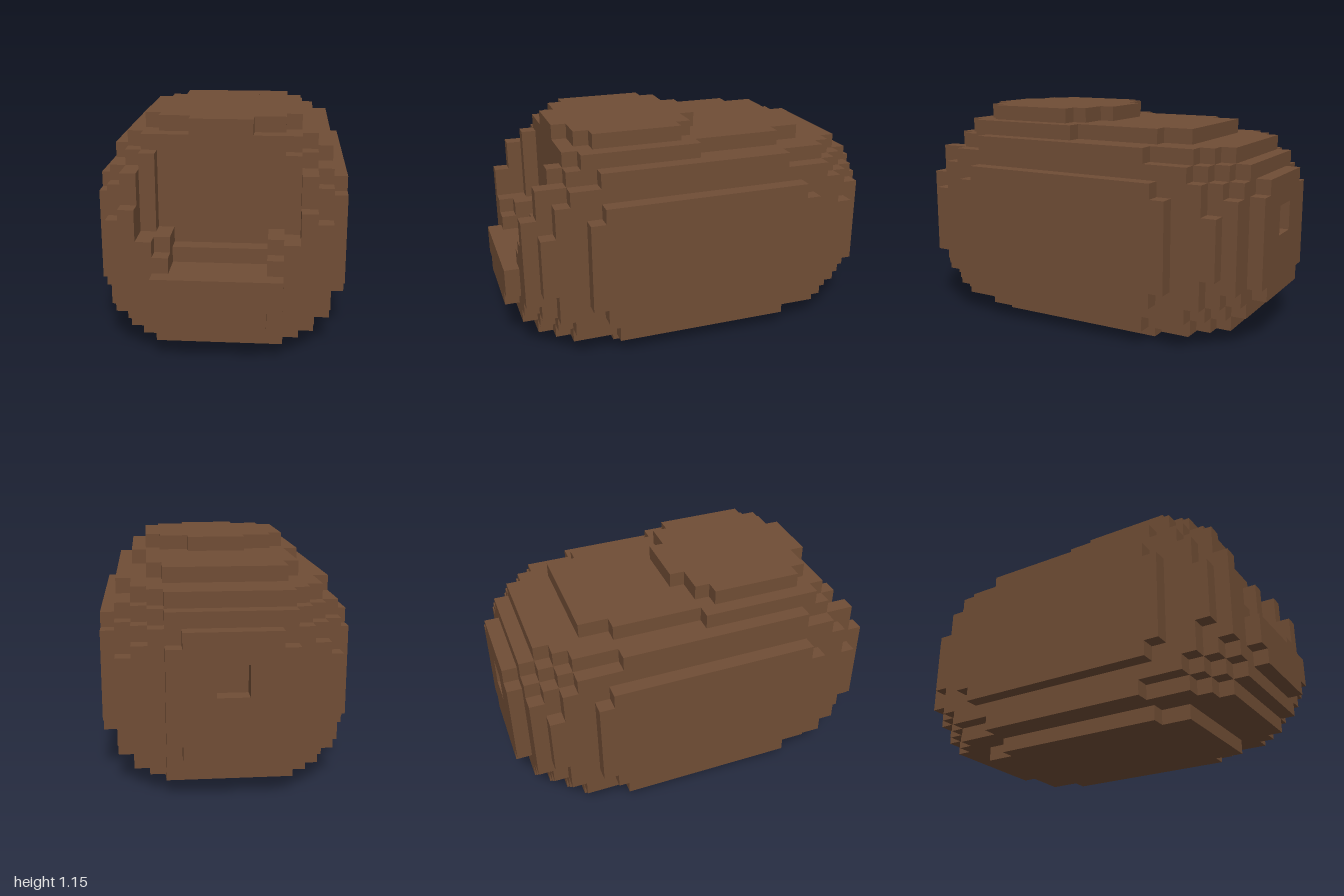
import * as THREE from 'three';

// One block is 1/13 of a unit; the body is 16 wide, 15 high and 26 long.
const U = 1 / 13;

// Boxes are [half width, y0, y1, z0, z1], mirrored in x.
const sym = ([hx, y0, y1, hz]) => [hx, y0, y1, -hz, hz];

const parts = {
  // Rounded hull, as nested slabs
  body: [
    [7, 5, 9, 11], [7, 3, 11, 10], [7, 2, 12, 9], [7, 1, 13, 6],
    [6, 4, 10, 12], [6, 3, 11, 11], [6, 2, 12, 10], [6, 1, 13, 9],
    [5, 3, 11, 12], [5, 2, 12, 11], [5, 1, 13, 10],
    [4, 2, 12, 12], [4, 1, 13, 11],
  ].map(sym).concat([[7, 12, 13, 0, 7], [6, 10, 12, 0, 11]]),
  sidePanels: [[8, 4, 10, 8], [8, 3, 11, 7]].map(sym),
  underside: [[5, 0, 1, 6], [4, 0, 1, 8]].map(sym),
  roof: [[5, 13, 14, -6, 9], [4, 13, 14, -8, 9], [6, 13, 14, 0, 8]],
  roofCap: [[5, 14, 15, 1, 7], [4, 14, 15, 0, 8], [2, 14, 15, -1, 9]],
  frontLip: [[4, 4, 6, 12, 13], [3, 3, 4, 12, 13]],
  rearPanel: [[4, 4, 10, -13, -12], [3, 3, 11, -13, -12]],
};

// Front recess with its stepped sill, and the small rear hole
const cuts = [
  [5, 8, 13, 10, 13], [4, 8, 13, 9, 13], [3, 7, 13, 9, 13],
  [3, 6, 13, 10, 13], [4, 7, 8, 11, 13],
  [1, 7, 9, -13, -12],
];

const inside = (list, x, y, z) => list.some(([hx, y0, y1, z0, z1]) =>
  Math.abs(x) < hx && y > y0 && y < y1 && z > z0 && z < z1);

// Part that owns the block centred on a point, or null for empty space
function owner(x, y, z) {
  // the outer blocks of the sill corners stay solid
  const sillCorner = Math.abs(x) > 4 && Math.abs(x) < 5 && y > 7 && y < 8;
  if (!sillCorner && inside(cuts, x, y, z)) return null;
  for (const name in parts) if (inside(parts[name], x, y, z)) return name;
  return null;
}

export function createModel() {
  const group = new THREE.Group();
  const brown = new THREE.MeshStandardMaterial({ color: 0x704d35 });
  brown.name = 'brown';

  const data = {};
  for (const name in parts) data[name] = { position: [], normal: [] };

  // Emit only the block faces that touch empty space
  for (let x = -7.5; x < 8; x++) for (let y = 0.5; y < 15; y++) for (let z = -12.5; z < 13; z++) {
    const name = owner(x, y, z);
    if (!name) continue;
    for (let axis = 0; axis < 3; axis++) for (const side of [-1, 1]) {
      const n = [0, 0, 0];
      n[axis] = side;
      if (owner(x + n[0], y + n[1], z + n[2])) continue;
      const a = (axis + 1) % 3, b = (axis + 2) % 3;
      const corners = [[-1, -1], [1, -1], [1, 1], [-1, 1]].map(([s, t]) => {
        const p = [x, y, z];
        p[axis] += side / 2;
        p[a] += s * side / 2;
        p[b] += t / 2;
        return p.map(v => v * U);
      });
      for (const i of [0, 1, 2, 0, 2, 3]) {
        data[name].position.push(...corners[i]);
        data[name].normal.push(...n);
      }
    }
  }

  for (const name in data) {
    const geometry = new THREE.BufferGeometry();
    for (const key of ['position', 'normal'])
      geometry.setAttribute(key, new THREE.Float32BufferAttribute(data[name][key], 3));
    const mesh = new THREE.Mesh(geometry, brown);
    mesh.name = name;
    group.add(mesh);
  }
  return group;
}
